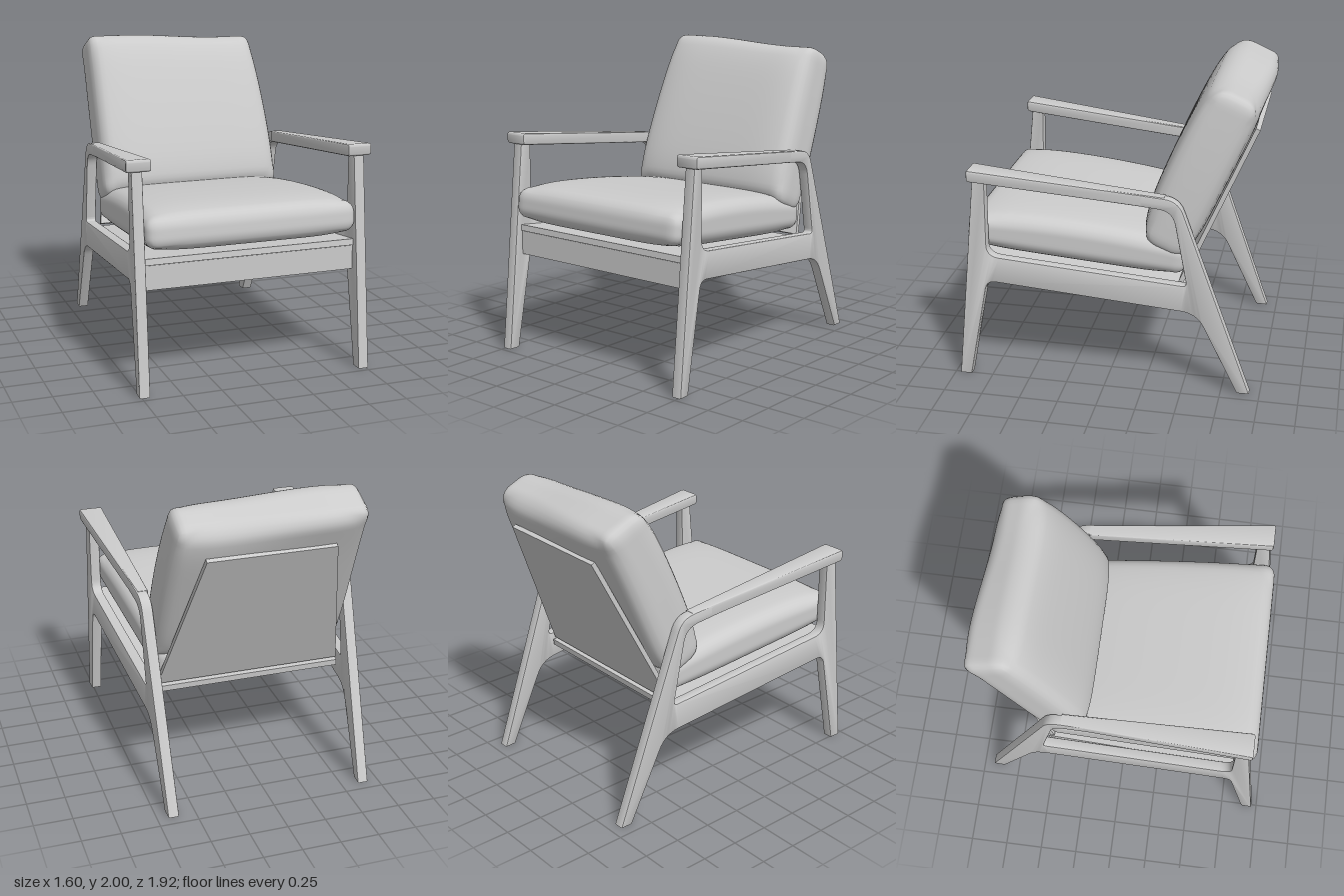
import * as THREE from 'three';
import { mergeVertices, toCreasedNormals } from 'three/addons/utils/BufferGeometryUtils.js';

const material = new THREE.MeshStandardMaterial({ color: 0xcccccc });

function addMesh(parent, name, geometry) {
  const mesh = new THREE.Mesh(geometry, material);
  mesh.name = name;
  parent.add(mesh);
  return mesh;
}

// Move every vertex by a rule
function warp(geometry, rule) {
  const pos = geometry.attributes.position;
  const p = new THREE.Vector3();
  for (let i = 0; i < pos.count; i++) {
    rule(p.fromBufferAttribute(pos, i));
    pos.setXYZ(i, p.x, p.y, p.z);
  }
  return geometry;
}

// Closed outline through [z, y, cornerRadius] points
function outline(points, target) {
  const pts = points.map(([z, y]) => new THREE.Vector2(-z, y));
  const n = pts.length;
  pts.forEach((p, i) => {
    const r = points[i][2] || 0;
    const toward = (q) => q.clone().sub(p).setLength(r).add(p);
    const a = r ? toward(pts[(i + n - 1) % n]) : p;
    if (i === 0) target.moveTo(a.x, a.y);
    else target.lineTo(a.x, a.y);
    if (r) {
      const b = toward(pts[(i + 1) % n]);
      target.quadraticCurveTo(p.x, p.y, b.x, b.y);
    }
  });
  target.closePath();
  return target;
}

// Side profile given thickness along x, centred on x = 0
function extrudeSide(shape, width, bevel) {
  const geometry = new THREE.ExtrudeGeometry(shape, {
    depth: width - 2 * bevel, curveSegments: 8,
    bevelSize: bevel, bevelThickness: bevel, bevelOffset: -bevel, bevelSegments: 2,
  });
  geometry.translate(0, 0, bevel - width / 2);
  return geometry.rotateY(Math.PI / 2);
}

// Legs, side rail and arm core in one piece, converging towards the back
function sideFrame(side) {
  const shape = outline([
    [0.965, 0], [0.89, 0], [0.76, 0.685, 0.06], [-0.585, 0.55, 0.1],
    [-0.855, 0], [-0.933, 0], [-0.46, 1.308, 0.09], [0.822, 1.435],
  ], new THREE.Shape());
  shape.holes.push(outline([
    [0.75, 1.367], [0.755, 0.86, 0.08], [-0.52, 0.735, 0.03], [-0.425, 1.235, 0.09],
  ], new THREE.Path()));
  const geometry = warp(extrudeSide(shape, 0.07, 0.008), (p) => {
    p.x += side * (0.645 + 0.046 * (p.z + 0.93));
  });
  return toCreasedNormals(geometry, 0.6);
}

// Armrest, wide at the front and narrow at the back
function armrest(side) {
  const shape = outline([
    [0.855, 1.37, 0.02], [0.855, 1.447, 0.02], [-0.37, 1.319], [-0.37, 1.243],
  ], new THREE.Shape());
  const geometry = warp(extrudeSide(shape, 0.16, 0.014), (p) => {
    const t = (p.z + 0.37) / 1.225;
    p.x = p.x * THREE.MathUtils.lerp(0.46, 1, t) + side * THREE.MathUtils.lerp(0.664, 0.72, t);
  });
  return toCreasedNormals(geometry, 0.6);
}

// Block with edges rounded per axis and thinned borders; "thin" is the thickness axis
function cushion(half, radius, thin, edgeLoss, shapeRule) {
  const seg = half.toArray().map((h) => Math.max(14, Math.round(h * 70)));
  let geometry = new THREE.BoxGeometry(half.x * 2, half.y * 2, half.z * 2, ...seg);
  geometry.deleteAttribute('normal');
  geometry.deleteAttribute('uv');
  geometry = mergeVertices(geometry);
  const core = half.clone().sub(radius);
  const coreMin = core.clone().negate();
  const inner = new THREE.Vector3();
  const long = thin === 'y' ? 'z' : 'y';
  warp(geometry, (p) => {
    inner.copy(p).clamp(coreMin, core);
    p.sub(inner).divide(radius).normalize().multiply(radius).add(inner);
    const u = Math.abs(p.x / half.x), v = Math.abs(p[long] / half[long]);
    p[thin] *= 1 - edgeLoss * Math.min(1, u ** 6 + v ** 6);
    shapeRule(p);
  });
  geometry.computeVertexNormals();
  return geometry;
}

// Thin board in the xy plane, tapering from bottom to top width
function board(bottomHalf, topHalf, length, thickness) {
  return warp(new THREE.BoxGeometry(2, length, thickness), (p) => {
    p.x *= p.y > 0 ? topHalf : bottomHalf;
  }).toNonIndexed();
}

export function createModel() {
  const model = new THREE.Group();
  model.name = 'armchair';

  for (const [label, side] of [['left', 1], ['right', -1]]) {
    addMesh(model, label + 'SideFrame', sideFrame(side));
    addMesh(model, label + 'Armrest', armrest(side));
  }

  // Front rail and seat board
  const rail = addMesh(model, 'frontRail', new THREE.BoxGeometry(1.4, 0.155, 0.06));
  rail.position.set(0, 0.713, 0.81);

  const seatBoard = addMesh(model, 'seatBoard', board(0.7, 0.61, 1.35, 0.04));
  seatBoard.rotation.x = -Math.PI / 2 - 0.1;
  seatBoard.position.set(0, 0.747, 0.175);

  // Tapered back board
  const backTilt = -0.416;
  const backBoard = addMesh(model, 'backBoard', board(0.61, 0.41, 1.07, 0.03));
  backBoard.rotation.x = backTilt;
  backBoard.position.set(0, 1.21, -0.685);

  // Seat cushion, narrower at the back and crowned along its length
  const seat = addMesh(model, 'seatCushion', cushion(
    new THREE.Vector3(0.69, 0.132, 0.705), new THREE.Vector3(0.08, 0.1, 0.06), 'y', 0.26, (p) => {
      const t = (p.z / 0.705 + 1) / 2;
      p.x *= THREE.MathUtils.lerp(0.89, 1, t);
      if (p.y > 0) p.y += 0.035 * (1 - (2 * t - 1) ** 2);
    }));
  seat.rotation.x = -0.1;
  seat.position.set(0, 0.924, 0.205);

  // Back cushion, full in front, slightly slumped on one side at the top
  const back = addMesh(model, 'backCushion', cushion(
    new THREE.Vector3(0.63, 0.575, 0.195), new THREE.Vector3(0.05, 0.09, 0.14), 'z', 0.25, (p) => {
      const v = p.y / 0.575;
      const t = (v + 1) / 2;
      const slump = THREE.MathUtils.smoothstep(p.x, -0.4, 0.4);
      p.x *= 1 - (p.x > 0 ? 0.09 : 0.03) * t * t;
      p.y -= 0.04 * slump * t * t;
      if (p.z > 0) p.z += 0.025 * (1 - v * v);
      else p.z = p.z * 0.92 - 0.055 * (1 - slump) * t ** 10;
    }));
  back.rotation.x = backTilt;
  back.position.set(0, 1.447, -0.579);

  return model;
}
